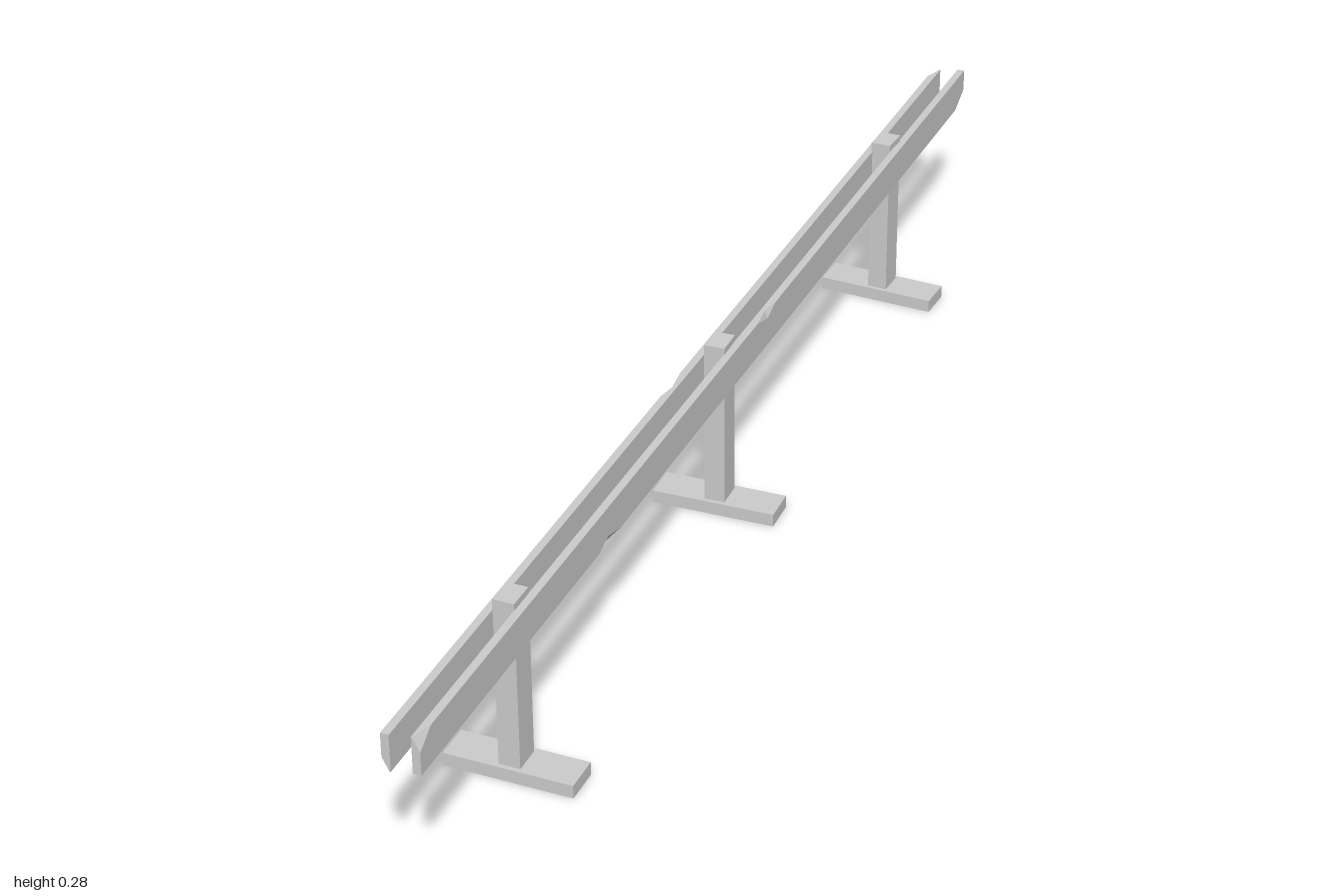
import * as THREE from 'three';

const material = new THREE.MeshStandardMaterial({ color: 0xcccccc, flatShading: true });

function box(name, w, h, d, y) {
  const mesh = new THREE.Mesh(new THREE.BoxGeometry(w, h, d), material);
  mesh.name = name;
  mesh.position.y = y;
  return mesh;
}

// Plank lofted along z; each station is [z, top chip, bottom chip], chips being 0..1
function plankGeometry(stations) {
  const inner = 0.015, outer = 0.0265, low = 0.213, high = 0.268;
  const positions = [], index = [], n = 6;
  for (const [z, top, bottom] of stations) {
    const section = [
      [inner, low],
      [outer - 0.011 * bottom, low],
      [outer, low + 0.022 * bottom],
      [outer, high - 0.022 * top],
      [outer - 0.011 * top, high],
      [inner, high],
    ];
    for (const [x, y] of section) positions.push(x, y, z);
  }
  for (let s = 0; s < stations.length - 1; s++) {
    for (let i = 0; i < n; i++) {
      const a = s * n + i, b = s * n + (i + 1) % n;
      index.push(a, b, b + n, a, b + n, a + n);
    }
  }
  // End caps
  const last = (stations.length - 1) * n;
  for (let i = 1; i < n - 1; i++) {
    index.push(0, i + 1, i, last, last + i, last + i + 1);
  }
  const geometry = new THREE.BufferGeometry();
  geometry.setAttribute('position', new THREE.Float32BufferAttribute(positions, 3));
  geometry.setIndex(index);
  const flat = geometry.toNonIndexed();
  flat.computeVertexNormals();
  return flat;
}

export function createModel() {
  const group = new THREE.Group();

  // Three posts on cross feet, each turned slightly
  for (const [z, turn] of [[0.693, 0], [0, 0.03], [-0.693, -0.05]]) {
    const support = new THREE.Group();
    support.name = 'support';
    support.add(box('foot', 0.187, 0.02, 0.055, 0.01));
    support.add(box('post', 0.031, 0.258, 0.042, 0.149));
    support.position.z = z;
    support.rotation.y = turn;
    group.add(support);
  }

  // Two chipped planks, the second turned end for end and set a little lower
  const geometry = plankGeometry([
    [-1, 0, 0.9], [-0.96, 0, 0],
    [-0.15, 0, 0], [-0.12, 0.5, 0], [-0.08, 0, 0],
    [0.41, 0, 0], [0.45, 0, 0.5], [0.48, 0, 0],
    [0.97, 0, 0], [1, 0.95, 0],
  ]);
  const leftPlank = new THREE.Mesh(geometry, material);
  leftPlank.name = 'leftPlank';
  const rightPlank = new THREE.Mesh(geometry, material);
  rightPlank.name = 'rightPlank';
  rightPlank.rotation.y = Math.PI;
  rightPlank.position.y = -0.006;
  group.add(leftPlank, rightPlank);

  return group;
}
